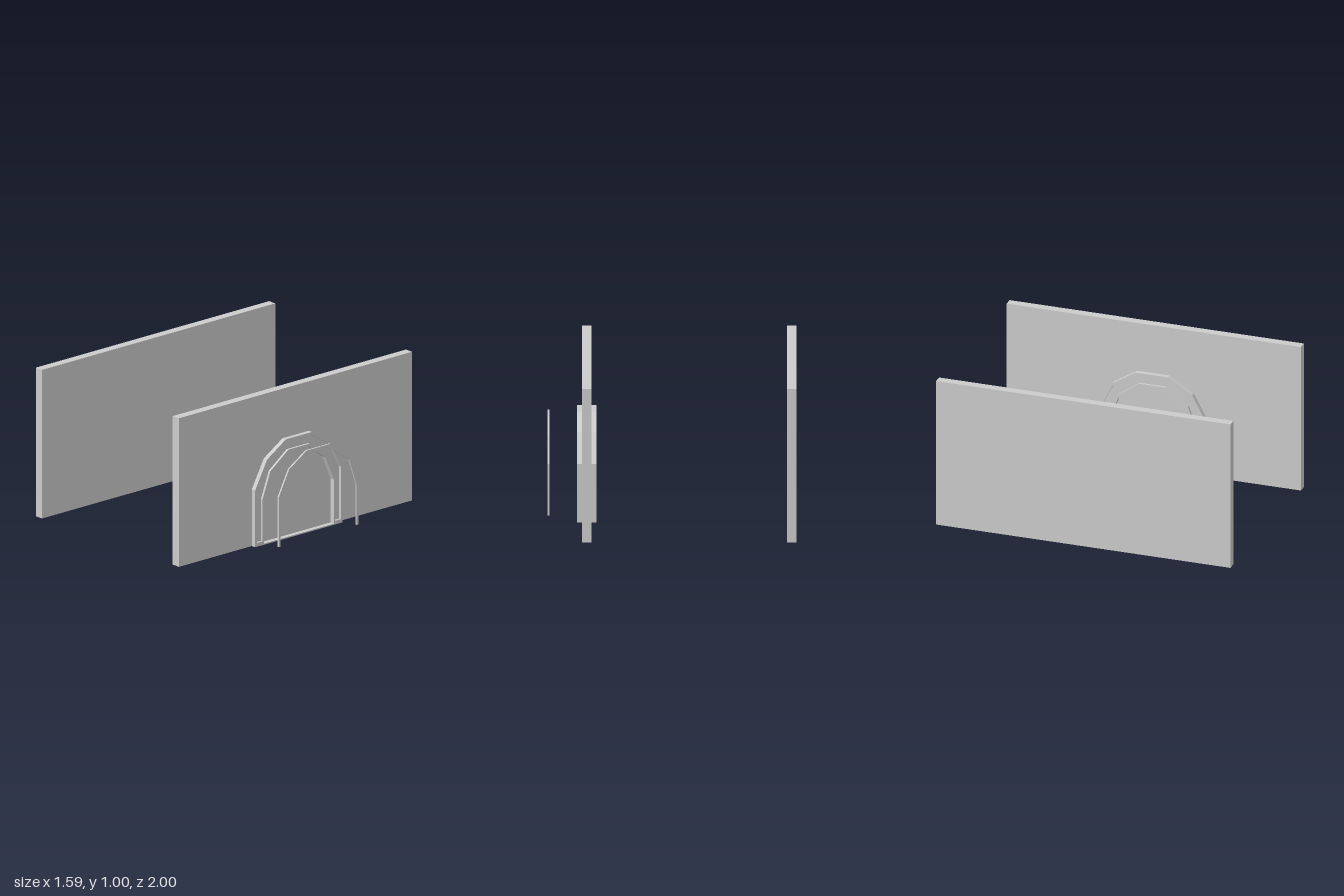
import * as THREE from 'three';

const material = new THREE.MeshStandardMaterial({ color: 0xcccccc, flatShading: true });

// Half of each arch: [side z, spring y], [shoulder z, y], [crown z, y]
const OUTER = [[0.375, 0.382], [0.273, 0.567], [0.112, 0.667]];
const GROOVE_OUT = [[0.359, 0.379], [0.263, 0.556], [0.107, 0.651]];
const STRIP_OUT = [[0.342, 0.375], [0.253, 0.545], [0.103, 0.637]];
const STRIP_IN = [[0.326, 0.312], [0.262, 0.495], [0.096, 0.61]];
const GROOVE_IN = [[0.311, 0.308], [0.245, 0.482], [0.091, 0.593]];
const OPENING = [[0.3, 0.305], [0.228, 0.47], [0.086, 0.577]];

// Mirrored arch outline starting and ending at the given foot height
function archPoints(half, foot) {
  const right = [[half[0][0], foot], ...half];
  const left = right.map(([z, y]) => [-z, y]).reverse();
  return [...right, ...left].map(([z, y]) => new THREE.Vector2(z, y));
}

// Inverted U between two arches
function bandPoints(outer, inner, foot) {
  return [...archPoints(outer, foot), ...archPoints(inner, foot).reverse()];
}

// Extrude a profile drawn in z/y along x, from x0 to x1
function extrudeX(name, points, holes, x0, x1) {
  const shape = new THREE.Shape(points);
  shape.holes = holes.map((h) => new THREE.Path(h));
  const geometry = new THREE.ExtrudeGeometry(shape, { depth: x1 - x0, bevelEnabled: false });
  geometry.rotateY(Math.PI / 2);
  geometry.translate(x0, 0, 0);
  const mesh = new THREE.Mesh(geometry, material);
  mesh.name = name;
  return mesh;
}

function wall(name, x) {
  const mesh = new THREE.Mesh(new THREE.BoxGeometry(0.06, 1, 2), material);
  mesh.name = name;
  mesh.position.set(x, 0.5, 0);
  return mesh;
}

export function createModel() {
  const model = new THREE.Group();
  model.name = 'archedWalls';

  // Two parallel walls, one plain and one carrying the doorway
  model.add(wall('plainWall', -0.764), wall('doorWall', 0.543));

  // Door frame with a sill, standing proud of both wall faces
  const frame = new THREE.Group();
  frame.name = 'doorFrame';
  const outline = archPoints(OUTER, 0);
  const opening = archPoints(OPENING, 0.008);
  const groove = bandPoints(GROOVE_OUT, GROOVE_IN, 0.025);
  const mid = 0.543, face = 0.062, core = 0.046;
  frame.add(extrudeX('frameCore', outline, [opening], mid - core, mid + core));

  // Grooved face layer on each side
  frame.add(extrudeX('grooveFaceOuter', outline, [opening, groove], mid + core, mid + face));
  frame.add(extrudeX('grooveFaceInner', outline, [opening, groove], mid - face, mid - core));
  model.add(frame);

  // Thin arched strip floating in front of the groove
  model.add(extrudeX('archStrip', bandPoints(STRIP_OUT, STRIP_IN, 0.04), [], 0.782, 0.794));

  return model;
}
